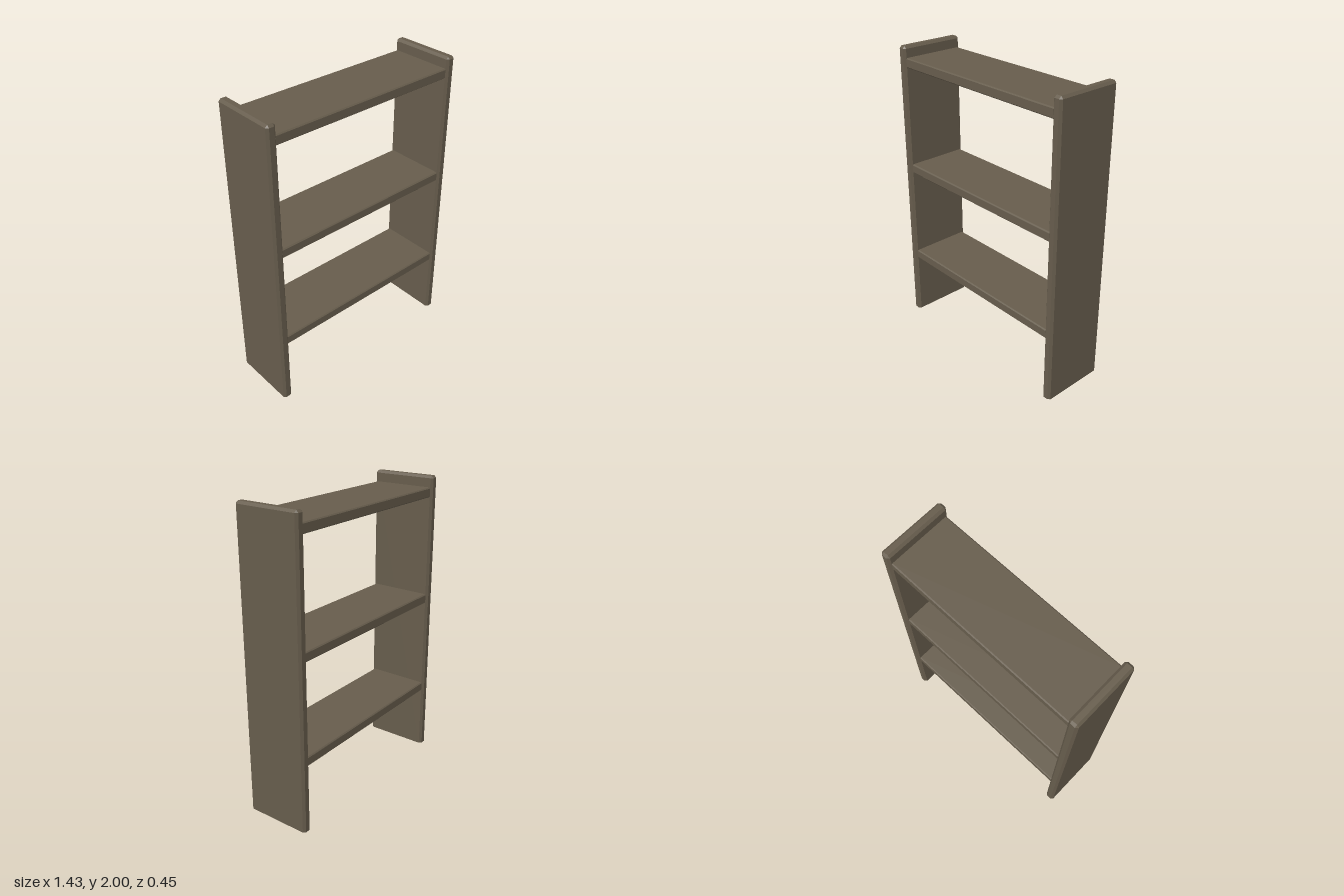
import * as THREE from 'three';

// Prism with chamfered long edges, running along z from 0 to length
function chamferedPrism(hx, hy, c, length, steps = 1) {
  const outline = new THREE.Shape([
    [hx, -hy + c], [hx, hy - c], [hx - c, hy], [-hx + c, hy],
    [-hx, hy - c], [-hx, -hy + c], [-hx + c, -hy], [hx - c, -hy],
  ].map(([x, y]) => new THREE.Vector2(x, y)));
  return new THREE.ExtrudeGeometry(outline, { depth: length, steps, bevelEnabled: false });
}

// Upright board: chamfered vertical edges and a chamfered top
function panelGeometry(width, height, depth, c) {
  const hx = width / 2, hz = depth / 2;
  const geo = chamferedPrism(hx, hz, c, height, 2).rotateX(-Math.PI / 2);
  const pos = geo.attributes.position;
  const clamp = THREE.MathUtils.clamp;
  for (let i = 0; i < pos.count; i++) {
    const y = pos.getY(i);
    if (y > height * 0.75) {
      // draw the top ring inwards
      pos.setX(i, clamp(pos.getX(i), -hx + c, hx - c));
      pos.setZ(i, clamp(pos.getZ(i), -hz + c, hz - c));
    } else if (y > height * 0.25) {
      // lift the middle ring to the start of the chamfer
      pos.setY(i, height - c);
    }
  }
  geo.computeVertexNormals();
  return geo;
}

export function createModel() {
  const group = new THREE.Group();
  group.name = 'shelfUnit';
  const wood = new THREE.MeshStandardMaterial({ color: 0x665c4c });
  wood.name = 'darkWood';

  // Side panels
  const panel = panelGeometry(0.063, 2, 0.45, 0.015);
  for (const side of [-1, 1]) {
    const mesh = new THREE.Mesh(panel, wood);
    mesh.name = side > 0 ? 'leftPanel' : 'rightPanel';
    mesh.position.x = side * 0.6835;
    group.add(mesh);
  }

  // Shelves, butted against the panels
  const span = 1.304;
  const shelf = chamferedPrism(0.211, 0.0325, 0.007, span)
    .translate(0, 0, -span / 2).rotateY(Math.PI / 2);
  [['lowerShelf', 0.474], ['middleShelf', 1.154], ['upperShelf', 1.893]].forEach(([name, y]) => {
    const mesh = new THREE.Mesh(shelf, wood);
    mesh.name = name;
    mesh.position.y = y;
    group.add(mesh);
  });

  return group;
}
